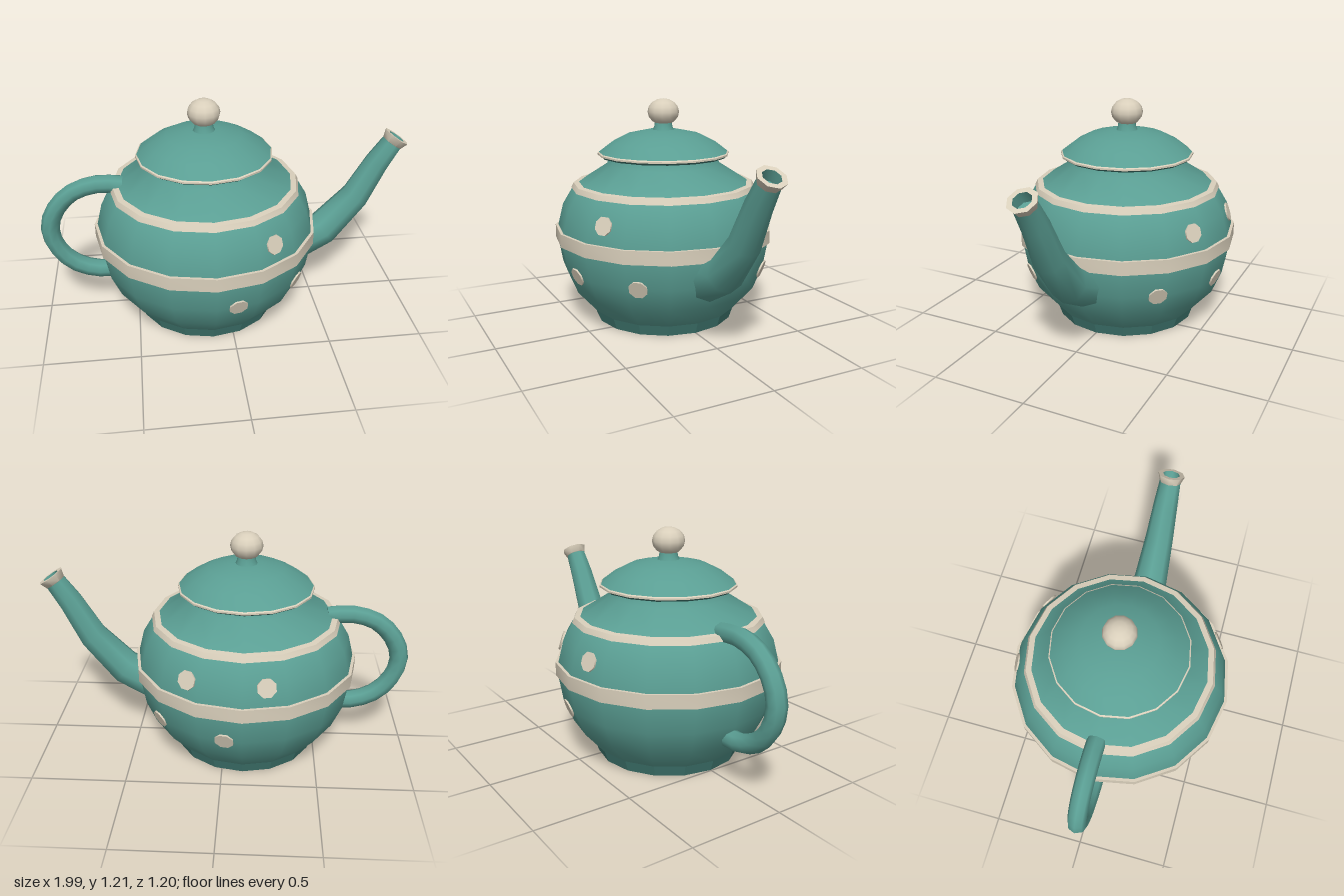
import * as THREE from 'three';
import { toCreasedNormals } from 'three/addons/utils/BufferGeometryUtils.js';

const SIDES = 16;
const AXIS_X = -0.11;

export function createModel() {
  const model = new THREE.Group();
  model.name = 'teapot';

  const material = (name, color) => {
    const m = new THREE.MeshStandardMaterial({ color });
    m.name = name;
    return m;
  };
  const teal = material('teal glaze', 0x5a9e93);
  const darkTeal = material('dark teal glaze', 0x417a72);
  const cream = material('cream glaze', 0xd9cfbb);

  const add = (parent, name, geometry, mat) => {
    const mesh = new THREE.Mesh(geometry, mat);
    mesh.name = name;
    parent.add(mesh);
    return mesh;
  };
  // Turned part from [radius, height] pairs, listed bottom to top
  const turned = (profile, sides = SIDES, crease = 0.7) => toCreasedNormals(
    new THREE.LatheGeometry(profile.map(([r, y]) => new THREE.Vector2(r, y)), sides), crease);

  // Tapered tube through points in the xy plane, made by bending a cylinder
  const sweep = (points, radii, sides, open) => {
    const n = points.length - 1;
    const g = new THREE.CylinderGeometry(1, 1, n, sides, n, open);
    const p = g.attributes.position;
    for (let i = 0; i < p.count; i++) {
      const k = Math.round(p.getY(i) + n / 2);
      const t = points[Math.min(k + 1, n)].clone().sub(points[Math.max(k - 1, 0)]).normalize();
      const x = p.getX(i) * radii[k];
      p.setXYZ(i, points[k].x + t.y * x, points[k].y - t.x * x, p.getZ(i) * radii[k]);
    }
    return toCreasedNormals(g, 0.9);
  };

  // Everything turned on the pot's vertical axis
  const pot = new THREE.Group();
  pot.name = 'pot';
  pot.position.x = AXIS_X;
  model.add(pot);

  const bodyProfile = [
    [0.405, 0.06], [0.515, 0.185], [0.567, 0.31], [0.591, 0.45], [0.586, 0.525],
    [0.557, 0.64], [0.5, 0.735], [0.46, 0.765], [0.31, 0.86], [0.295, 0.905],
  ];
  add(pot, 'body', turned(bodyProfile, SIDES, 0.9), teal);
  add(pot, 'foot', turned([[0.305, 0.02], [0.305, 0], [0.385, 0], [0.405, 0.06]], SIDES, 0.2), darkTeal);
  add(pot, 'underside', turned([[0, 0.02], [0.306, 0.02]]), teal);

  // Raised bands
  add(pot, 'bellyBand', turned([[0.57, 0.45], [0.602, 0.45], [0.602, 0.522], [0.57, 0.522]]), cream);
  add(pot, 'shoulderBand', turned([[0.48, 0.728], [0.509, 0.73], [0.496, 0.757], [0.455, 0.762]]), cream);

  // Lid
  const lid = new THREE.Group();
  lid.name = 'lid';
  pot.add(lid);
  add(lid, 'lidUnderside', turned([[0, 0.9], [0.345, 0.9], [0.355, 0.91]]), darkTeal);
  add(lid, 'lidRim', turned([[0.35, 0.91], [0.361, 0.911], [0.361, 0.92], [0.35, 0.927]]), cream);
  add(lid, 'lidDome', turned([[0.354, 0.925], [0.285, 0.977], [0.2, 1.02], [0.09, 1.043], [0, 1.046]]), teal);
  add(lid, 'knobStem', turned([[0.062, 1.035], [0.05, 1.06], [0.046, 1.085]], 12), teal);
  const knob = add(lid, 'knob', new THREE.SphereGeometry(0.086, 12, 8), cream);
  knob.scale.y = 0.84;
  knob.position.y = 1.14;

  // Painted dots: [angle from the front in degrees, height, body radius, upward tilt]
  const lower = [11.25, 51, 131, 171].map((a) => [a, 0.315, 0.567, -0.33]);
  const upper = [32, 151, 192].map((a) => [a, 0.62, 0.563, 0.33]);
  const facet = Math.PI * 2 / SIDES;
  for (const [degrees, y, radius, tilt] of [...lower, ...upper]) {
    const angle = THREE.MathUtils.degToRad(degrees);
    const offset = angle - (Math.floor(angle / facet) + 0.5) * facet;
    const r = radius * Math.cos(facet / 2) / Math.cos(offset) + 0.009;
    const disc = new THREE.CylinderGeometry(0.05, 0.05, 0.009, 8);
    disc.rotateY(Math.PI / 8).rotateX(Math.PI / 2 - tilt);
    const dot = add(pot, 'dot', disc, cream);
    dot.position.set(Math.sin(angle) * r, y, Math.cos(angle) * r);
    dot.rotation.y = angle;
  }

  // Spout
  const spoutPath = [[0.36, 0.32], [0.56, 0.41], [0.73, 0.605], [0.835, 0.805], [0.908, 0.918]]
    .map(([x, y]) => new THREE.Vector3(x, y, 0));
  add(model, 'spout', sweep(spoutPath, [0.115, 0.097, 0.08, 0.067, 0.058], 8, true), teal);

  // Flared lip and the opening inside it
  const lip = new THREE.Group();
  lip.name = 'spoutLip';
  lip.position.copy(spoutPath[4]);
  lip.rotation.z = -0.58;
  model.add(lip);
  add(lip, 'lipRing', turned([[0.056, -0.002], [0.06, 0], [0.074, 0.04], [0.047, 0.04]], 8, 0.9), cream);
  add(lip, 'lipInside', turned([[0.047, 0.04], [0.045, -0.02], [0, -0.02]], 8, 0.9), teal);

  // Handle
  const handlePath = new THREE.CatmullRomCurve3([
    [-0.55, 0.755], [-0.68, 0.765], [-0.82, 0.72], [-0.92, 0.61], [-0.95, 0.5],
    [-0.915, 0.38], [-0.83, 0.285], [-0.71, 0.238], [-0.57, 0.24],
  ].map(([x, y]) => new THREE.Vector3(x, y, 0))).getSpacedPoints(16);
  add(model, 'handle', sweep(handlePath, handlePath.map(() => 0.05), 8, false), teal);

  return model;
}
